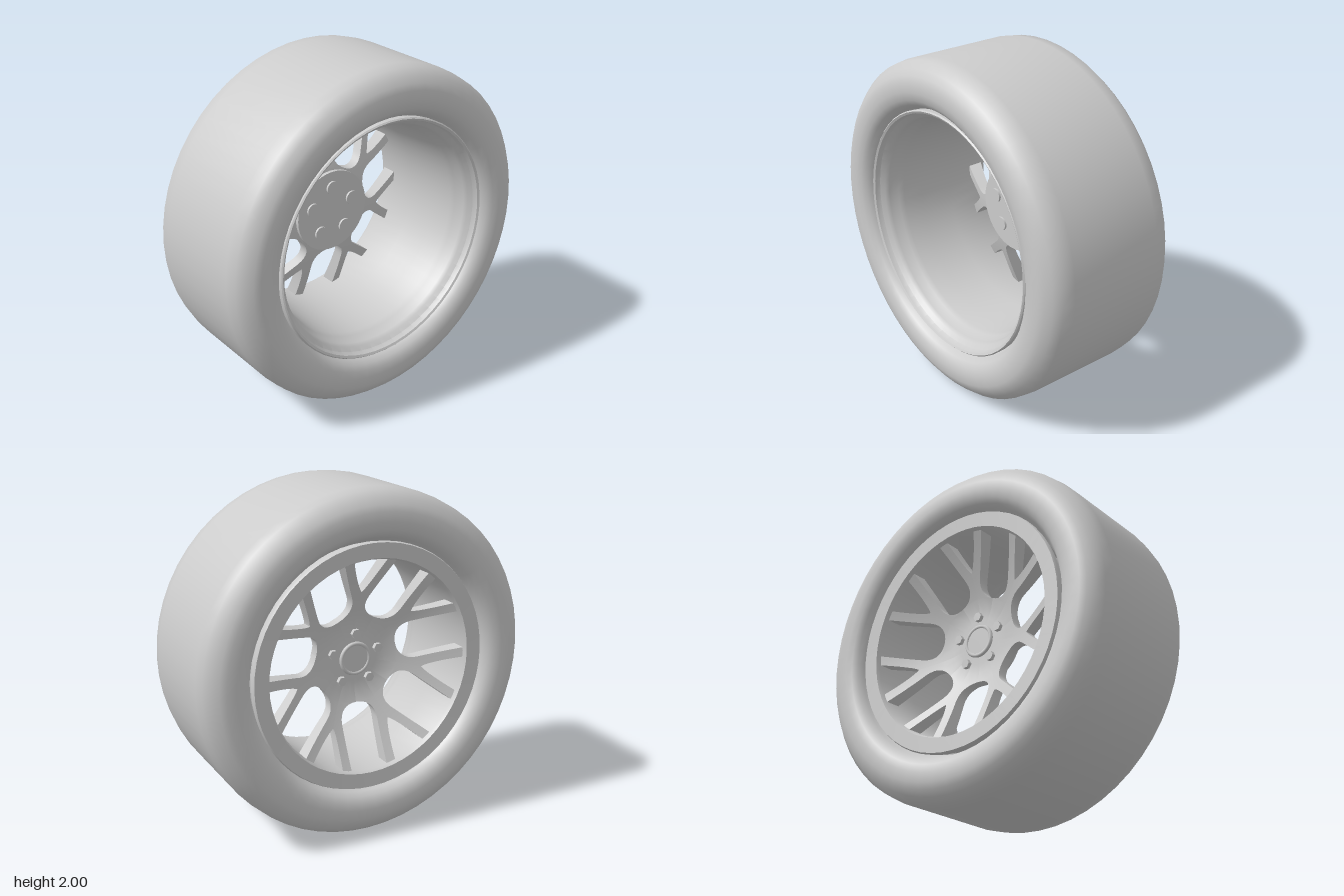
import * as THREE from 'three';
import { mergeGeometries, toCreasedNormals } from 'three/addons/utils/BufferGeometryUtils.js';

const SEGMENTS = 56;
const material = new THREE.MeshStandardMaterial({ color: 0xcccccc });

// Everything is built around a vertical axle; the whole wheel is tipped onto x at the end.
function addMesh(parent, name, geometry) {
  const mesh = new THREE.Mesh(geometry, material);
  mesh.name = name;
  parent.add(mesh);
  return mesh;
}

// Closed ring of revolution from [radius, axle position] points
function ring(profile, crease) {
  const points = [...profile, profile[0]].map(([r, y]) => new THREE.Vector2(r, y));
  return toCreasedNormals(new THREE.LatheGeometry(points, SEGMENTS), crease);
}

// Cylinder spanning two axle positions
function plug(radius, from, to, sides = 32) {
  return new THREE.CylinderGeometry(radius, radius, to - from, sides).translate(0, (from + to) / 2, 0);
}

// One half of a Y spoke: a box bent between the fork gap and the rounded window
const SPOKES = 7;
const HALF = Math.PI / SPOKES;
const ROWS = [0.08, 0.14, 0.2, 0.26, 0.263, 0.27, 0.28, 0.295, 0.31, 0.33, 0.355, 0.38,
  0.41, 0.414, 0.425, 0.445, 0.475, 0.51, 0.55, 0.59, 0.625];

function forkEdge(r) {
  return r <= 0.41 ? 0 : Math.asin(0.1 * Math.pow((r - 0.41) / 0.2, 0.8) / r);
}

function windowEdge(r) {
  if (r <= 0.26) return HALF;
  const k = Math.max(0, (0.38 - r) / 0.12);
  return HALF - Math.asin(0.115 * Math.sqrt(1 - k * k) / r);
}

function halfSpoke(side, turn) {
  const rows = ROWS.length - 1;
  const geometry = new THREE.BoxGeometry(1, 1, 1, rows, 1, 3);
  const pos = geometry.attributes.position;
  for (let i = 0; i < pos.count; i++) {
    const r = ROWS[Math.round((pos.getX(i) + 0.5) * rows)];
    const t = pos.getZ(i) + 0.5;
    const inner = forkEdge(r), outer = windowEdge(r);
    const angle = turn + (side > 0
      ? THREE.MathUtils.lerp(inner, outer, t)
      : THREE.MathUtils.lerp(-outer, -inner, t));
    // Dished from the sunken hub out to the rim lip
    const rise = Math.pow(Math.max(0, (r - 0.18) / 0.44), 1.3);
    const y = pos.getY(i) > 0 ? -0.12 - 0.15 * rise : -0.175 - 0.185 * rise;
    pos.setXYZ(i, r * Math.cos(angle), y, r * Math.sin(angle));
  }
  return toCreasedNormals(geometry, 0.7);
}

export function createModel() {
  const model = new THREE.Group();
  model.name = 'wheel';
  const axle = new THREE.Group();
  axle.name = 'axleAssembly';
  axle.rotation.z = -Math.PI / 2;
  axle.position.y = 1;
  model.add(axle);

  // Tyre: half profile mirrored across the middle of the tread
  const half = [[1, 0.29], [0.99, 0.36], [0.955, 0.4], [0.92, 0.425], [0.885, 0.44], [0.83, 0.44],
    [0.785, 0.432], [0.755, 0.41], [0.735, 0.38], [0.725, 0.33], [0.7, 0.3]];
  const mirrored = half.map(([r, y]) => [r, -y]).reverse();
  addMesh(axle, 'tyre', ring([...mirrored, ...half], 0.8));

  // Rim: flat lip on the spoke side, stepped flange on the open side
  addMesh(axle, 'rim', ring([
    [0.712, -0.39], [0.718, -0.375], [0.712, -0.345], [0.68, -0.32], [0.65, -0.25], [0.635, 0],
    [0.66, 0.25], [0.69, 0.31], [0.72, 0.345], [0.722, 0.385], [0.715, 0.392],
    [0.703, 0.385], [0.695, 0.355], [0.672, 0.335], [0.662, 0.31], [0.66, 0.28],
    [0.645, 0.255], [0.638, 0.22], [0.628, 0.1], [0.616, -0.1], [0.616, -0.365], [0.625, -0.385],
  ], 0.6));

  // Forked spokes
  const parts = [];
  for (let i = 0; i < SPOKES; i++) {
    const turn = Math.PI + i * 2 * HALF;
    parts.push(halfSpoke(1, turn), halfSpoke(-1, turn));
  }
  addMesh(axle, 'spokes', mergeGeometries(parts));

  // Hub with centre cap and mounting plate
  addMesh(axle, 'hubPlate', plug(0.25, -0.14, -0.112, 40));
  addMesh(axle, 'centreCap', plug(0.085, -0.188, -0.13));
  const capRing = addMesh(axle, 'capRing', new THREE.TorusGeometry(0.088, 0.012, 8, 32));
  capRing.rotation.x = Math.PI / 2;
  capRing.position.y = -0.182;

  // Five bolts: hexagonal heads outside, round ends inside
  for (let i = 0; i < 5; i++) {
    const angle = Math.PI + (i * 2 * Math.PI) / 5;
    const bolt = new THREE.Group();
    bolt.name = 'wheelBolt';
    bolt.position.set(0.15 * Math.cos(angle), 0, 0.15 * Math.sin(angle));
    addMesh(bolt, 'boltHead', toCreasedNormals(plug(0.028, -0.2, -0.16, 6), 0.5));
    addMesh(bolt, 'boltEnd', plug(0.042, -0.13, -0.1, 20));
    axle.add(bolt);
  }
  return model;
}
